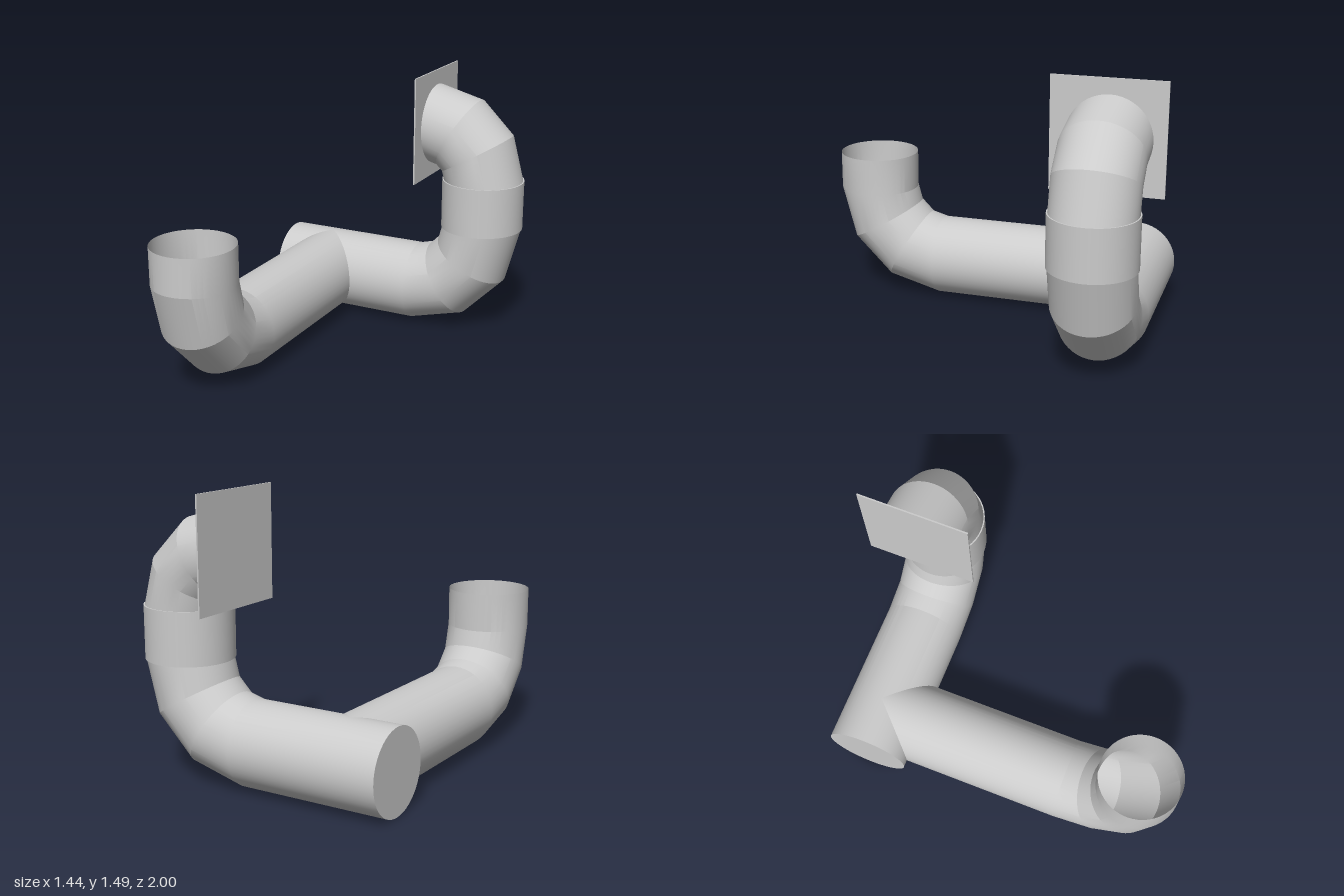
import * as THREE from 'three';
import { toCreasedNormals } from 'three/addons/utils/BufferGeometryUtils.js';

const R = 0.222;      // pipe radius
const BEND = 0.39;    // centreline radius of the large elbows
const SIDES = 48;
const material = new THREE.MeshStandardMaterial({ color: 0xcccccc, side: THREE.DoubleSide });

// Rings of a three-piece quarter elbow in the XY plane, as [x, y, angle]
function elbow(cx, cy, radius, startDeg) {
  return [0, 30, 60, 90].map((d) => {
    const a = THREE.MathUtils.degToRad(startDeg + d);
    return [cx + radius * Math.cos(a), cy + radius * Math.sin(a), a];
  });
}

// Open pipe lofted through rings, creased where the segments meet
function pipe(name, rings, r = R) {
  const pos = [], index = [];
  for (const [x, y, a] of rings) {
    for (let j = 0; j < SIDES; j++) {
      const t = (j / SIDES) * Math.PI * 2, c = r * Math.cos(t);
      pos.push(x + c * Math.cos(a), y + c * Math.sin(a), r * Math.sin(t));
    }
  }
  for (let i = 0; i < rings.length - 1; i++) {
    for (let j = 0; j < SIDES; j++) {
      const k = (j + 1) % SIDES;
      const a = i * SIDES + j, b = a + SIDES, c = i * SIDES + k, d = c + SIDES;
      index.push(a, b, c, b, d, c);
    }
  }
  const geo = new THREE.BufferGeometry();
  geo.setAttribute('position', new THREE.Float32BufferAttribute(pos, 3));
  geo.setIndex(index);
  const mesh = new THREE.Mesh(toCreasedNormals(geo, 0.22), material);
  mesh.name = name;
  return mesh;
}

function add(parent, name, geometry, x, y, z) {
  const mesh = new THREE.Mesh(geometry, material);
  mesh.name = name;
  mesh.position.set(x, y, z);
  parent.add(mesh);
  return mesh;
}

export function createModel() {
  const model = new THREE.Group();
  model.name = 'pipework';
  const down = -Math.PI / 2;

  // Front branch: runs forward from the main pipe, then turns up to an open end
  const branch = pipe('branchPipe', [
    [-0.705, R, down],
    ...elbow(0.388, R + BEND, BEND, -90),
    [0.388 + BEND, 0.818, 0],
  ]);
  branch.rotation.y = -Math.PI / 2;
  branch.position.x = -0.46;
  model.add(branch);

  // Rear run: main pipe, collar and upper elbow ending at the wall plate
  const rear = new THREE.Group();
  rear.name = 'rearRun';
  rear.position.z = -0.705;
  model.add(rear);

  rear.add(pipe('mainPipe', [[-0.72, R, down], ...elbow(0.1, R + BEND, BEND, -90)]));
  add(rear, 'endCap', new THREE.CircleGeometry(R, SIDES), -0.72, R, 0).rotation.y = -Math.PI / 2;
  add(rear, 'collar', new THREE.CylinderGeometry(0.229, 0.229, 0.277, SIDES), 0.49, 0.752, 0);
  rear.add(pipe('upperElbow', elbow(0.199, 0.89, 0.291, 0)));
  add(rear, 'wallPlate', new THREE.BoxGeometry(0.008, 0.59, 0.59), 0.197, 1.19, 0.005);

  return model;
}
